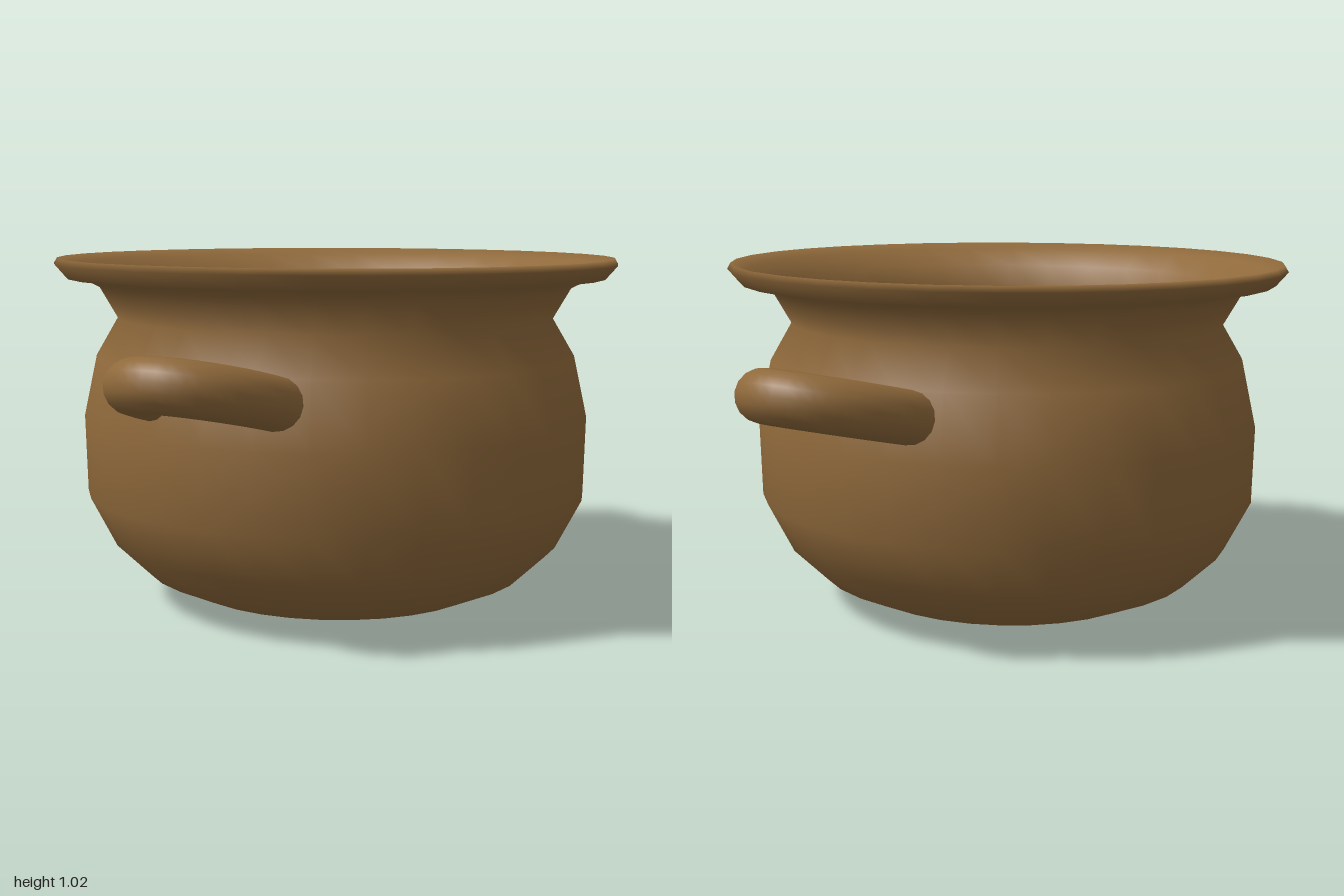
import * as THREE from 'three';

const brown = new THREE.MeshStandardMaterial({ color: 0x8f693b });

// Thin-walled pot: outer wall up, over the rim, and down the inside
function makePot() {
  const outer = [
    [0, 0], [0.15, 0.002], [0.31, 0.008], [0.45, 0.03], [0.575, 0.085], [0.675, 0.18],
    [0.75, 0.325], [0.755, 0.55], [0.715, 0.73], [0.65, 0.84], [0.705, 0.935],
    [0.755, 0.96], [0.8, 0.96], [0.835, 1.0],
  ];
  const inner = [
    [0.825, 1.017], [0.78, 0.998], [0.7, 0.948], [0.634, 0.84], [0.695, 0.725],
    [0.732, 0.55], [0.727, 0.33], [0.655, 0.195], [0.56, 0.105], [0.44, 0.055],
    [0.3, 0.032], [0, 0.026],
  ];
  const profile = [...outer, ...inner].map(([r, y]) => new THREE.Vector2(r, y));
  const pot = new THREE.Mesh(new THREE.LatheGeometry(profile, 32), brown);
  pot.name = 'pot';
  pot.scale.z = 0.952; // slightly oval
  pot.position.z = 0.015;
  return pot;
}

// Tilted half-oval loop whose rounded ends pass through the pot wall
function makeHandle(name) {
  const handle = new THREE.Group();
  handle.name = name;
  const radius = 0.072;
  const points = [];
  const steps = 16;
  for (let i = 0; i <= steps; i++) {
    const a = THREE.MathUtils.lerp(-0.13, Math.PI + 0.13, i / steps);
    const reach = Math.sin(a);
    points.push(new THREE.Vector3(0.19 * Math.cos(a), 0.665 + 0.068 * reach, 0.66 + 0.268 * reach));
  }
  const loop = new THREE.Mesh(
    new THREE.TubeGeometry(new THREE.CatmullRomCurve3(points), 32, radius, 16), brown);
  loop.name = 'handleLoop';
  handle.add(loop);

  for (const end of [points[0], points[steps]]) {
    const cap = new THREE.Mesh(new THREE.SphereGeometry(radius, 16, 12), brown);
    cap.name = 'handleEnd';
    cap.position.copy(end);
    cap.scale.z = 0.8;
    handle.add(cap);
  }
  return handle;
}

export function createModel() {
  const model = new THREE.Group();
  model.name = 'cookingPot';
  const front = makeHandle('frontHandle');
  const back = makeHandle('backHandle');
  back.rotation.y = Math.PI;
  model.add(makePot(), front, back);
  return model;
}
